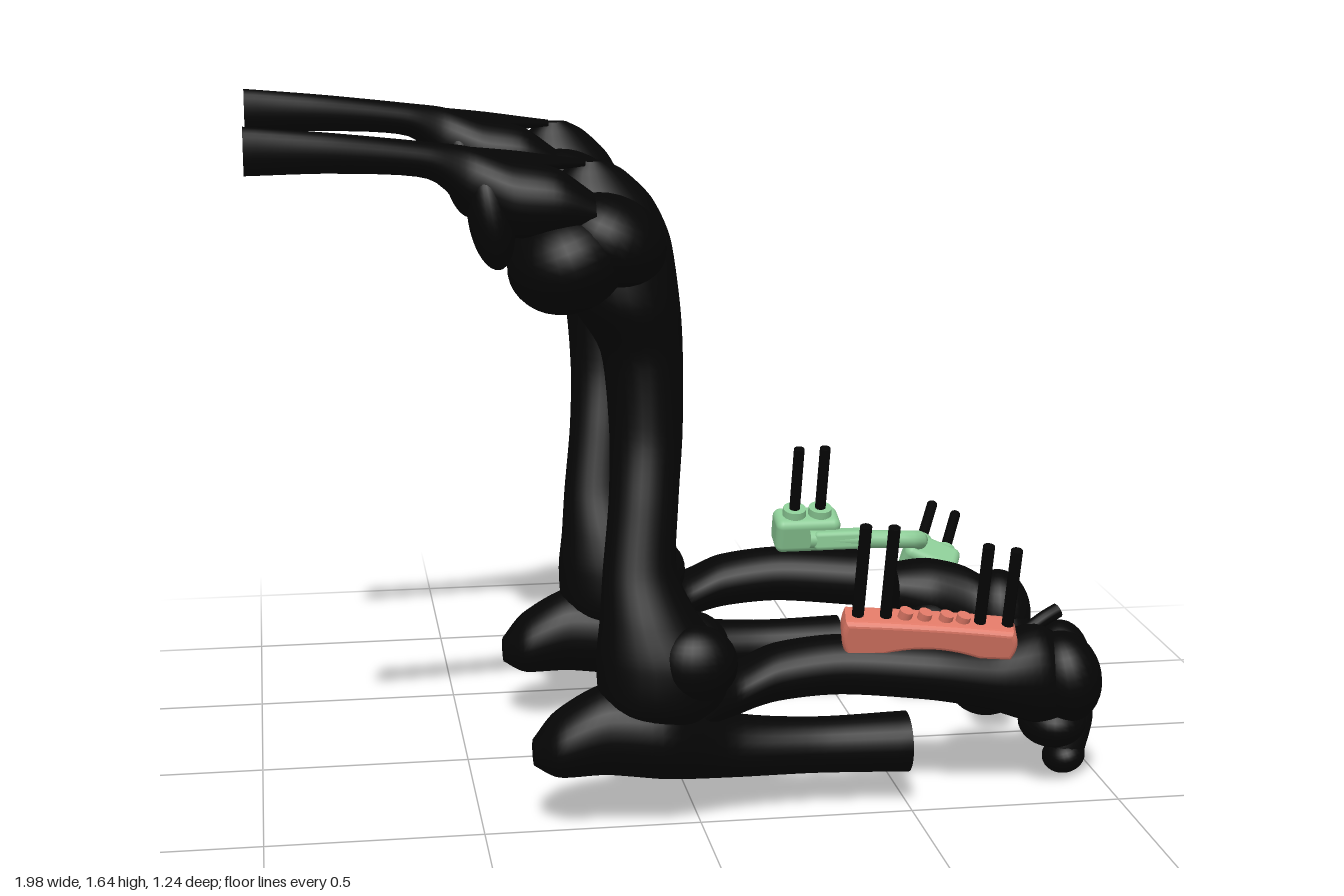
import * as THREE from 'three';
import { RoundedBoxGeometry } from 'three/addons/geometries/RoundedBoxGeometry.js';

const mat = (name, color) => {
  const m = new THREE.MeshStandardMaterial({ color });
  m.name = name;
  return m;
};

export function createModel() {
  const black = mat('bone black', 0x050505);
  const red = mat('plate red', 0xde7866);
  const green = mat('clamp green', 0x8ccb96);
  const model = new THREE.Group();

  const add = (parent, name, geo, material, x = 0, y = 0, z = 0) => {
    const m = new THREE.Mesh(geo, material);
    m.name = name;
    m.position.set(x, y, z);
    parent.add(m);
    return m;
  };

  // Smooth loft of ellipses along x or y; section = [x, y, z, ra, rb]
  // x axis: ra in y, rb in z. y axis: ra in z, rb in x.
  const loft = (parent, name, axis, sections) => {
    const mid = new THREE.CatmullRomCurve3(sections.map(s => new THREE.Vector3(s[0], s[1], s[2])), false, 'catmullrom', 0.4);
    const rad = new THREE.CatmullRomCurve3(sections.map(s => new THREE.Vector3(s[3], s[4], 0)), false, 'catmullrom', 0.4);
    const rows = (sections.length - 1) * 6, n = 28, pos = [], idx = [];
    const ring = t => {
      const c = mid.getPoint(t), r = rad.getPoint(t);
      for (let j = 0; j < n; j++) {
        const a = (j / n) * Math.PI * 2, u = Math.cos(a) * r.x, v = Math.sin(a) * r.y;
        if (axis === 'x') pos.push(c.x, c.y + u, c.z + v);
        else pos.push(c.x + v, c.y, c.z + u);
      }
      return c;
    };
    for (let i = 0; i <= rows; i++) ring(i / rows);
    for (let i = 0; i < rows; i++) for (let j = 0; j < n; j++) {
      const a = i * n + j, b = i * n + (j + 1) % n;
      idx.push(a, b, a + n, b, b + n, a + n);
    }
    // End caps with their own rings so the cut stays sharp
    for (const t of [0, 1]) {
      const s = pos.length / 3, c = ring(t);
      pos.push(c.x, c.y, c.z);
      for (let j = 0; j < n; j++) {
        const k = (j + 1) % n;
        idx.push(s + n, s + (t ? j : k), s + (t ? k : j));
      }
    }
    const g = new THREE.BufferGeometry();
    g.setAttribute('position', new THREE.Float32BufferAttribute(pos, 3));
    g.setIndex(idx);
    g.computeVertexNormals();
    return add(parent, name, g, black);
  };

  const knob = (parent, name, [x, y, z], [a, b, c], rz = 0) => {
    const m = add(parent, name, new THREE.SphereGeometry(1, 28, 18), black, x, y, z);
    m.scale.set(a, b, c);
    m.rotation.z = rz;
  };

  const tube = (parent, name, pts, r, material = black) =>
    add(parent, name, new THREE.TubeGeometry(
      new THREE.CatmullRomCurve3(pts.map(p => new THREE.Vector3(...p))), 16, r, 14), material);

  const pin = (parent, x, y0, y1) =>
    add(parent, 'pin', new THREE.CylinderGeometry(0.014, 0.014, y1 - y0, 16), black, x, (y0 + y1) / 2, 0);

  // Bones shared by both limbs, down to the forearm
  const makeLimb = name => {
    const g = new THREE.Group();
    g.name = name;
    loft(g, 'shoulderBlade', 'x', [
      [-0.99, 1.587, 0.598, 0.052, 0.025], [-0.8, 1.575, 0.563, 0.043, 0.032], [-0.6, 1.55, 0.512, 0.04, 0.042],
      [-0.51, 1.5, 0.485, 0.075, 0.055], [-0.42, 1.46, 0.48, 0.085, 0.085], [-0.32, 1.45, 0.485, 0.075, 0.085],
      [-0.24, 1.43, 0.49, 0.04, 0.06]]);
    loft(g, 'shoulderSpine', 'x', [
      [-0.75, 1.585, 0.55, 0.02, 0.02], [-0.5, 1.545, 0.46, 0.025, 0.05], [-0.4, 1.53, 0.4, 0.022, 0.07],
      [-0.3, 1.52, 0.36, 0.014, 0.04], [-0.24, 1.515, 0.33, 0.008, 0.02]]);
    knob(g, 'shoulderProcess', [-0.465, 1.42, 0.5], [0.05, 0.115, 0.065], 0.15);
    loft(g, 'humerus', 'y', [
      [-0.1, 0.23, 0.47, 0.07, 0.07], [-0.09, 0.3, 0.49, 0.11, 0.14], [-0.085, 0.4, 0.485, 0.115, 0.155],
      [-0.115, 0.49, 0.475, 0.095, 0.115], [-0.135, 0.6, 0.455, 0.07, 0.085], [-0.12, 0.75, 0.41, 0.07, 0.08],
      [-0.106, 0.9, 0.352, 0.087, 0.084], [-0.11, 1.08, 0.31, 0.115, 0.094], [-0.15, 1.2, 0.325, 0.125, 0.125],
      [-0.18, 1.34, 0.32, 0.11, 0.135], [-0.2, 1.43, 0.3, 0.085, 0.115], [-0.215, 1.49, 0.288, 0.052, 0.07],
      [-0.22, 1.515, 0.3, 0.02, 0.03]]);
    knob(g, 'humerusHead', [-0.295, 1.315, 0.46], [0.135, 0.115, 0.145], 0.35);
    knob(g, 'innerTubercle', [-0.2, 1.36, 0.46], [0.13, 0.1, 0.12], -0.4);
    for (const z of [0.43, 0.545]) knob(g, 'elbowCondyle', [-0.02, 0.4, z], [0.096, 0.09, 0.075]);
    loft(g, 'ulna', 'x', [
      [-0.385, 0.19, 0.49, 0.03, 0.035], [-0.33, 0.207, 0.49, 0.075, 0.085], [-0.22, 0.235, 0.485, 0.105, 0.1],
      [-0.08, 0.22, 0.47, 0.11, 0.125], [0.08, 0.165, 0.435, 0.075, 0.085], [0.28, 0.15, 0.425, 0.066, 0.066],
      [0.5, 0.15, 0.432, 0.071, 0.074]]);
    knob(g, 'elbowNotch', [-0.03, 0.27, 0.37], [0.11, 0.11, 0.155]);
    model.add(g);
    return g;
  };
  const radius = [
    [-0.05, 0.27, 0.37, 0.07, 0.12], [0.02, 0.275, 0.365, 0.08, 0.155], [0.1, 0.28, 0.365, 0.058, 0.1],
    [0.2, 0.31, 0.355, 0.066, 0.085], [0.35, 0.325, 0.365, 0.07, 0.08], [0.56, 0.315, 0.4, 0.073, 0.085]];

  // Near limb: whole forearm and wrist
  const near = makeLimb('nearLimb');
  loft(near, 'radius', 'x', [...radius,
    [0.7, 0.295, 0.395, 0.085, 0.1], [0.82, 0.285, 0.38, 0.12, 0.11], [0.9, 0.26, 0.36, 0.1, 0.1]]);
  knob(near, 'wristKnob', [0.73, 0.24, 0.28], [0.095, 0.085, 0.09]);
  knob(near, 'wristBone', [0.89, 0.28, 0.4], [0.085, 0.11, 0.1], 0.2);
  knob(near, 'wristBone', [0.91, 0.28, 0.28], [0.075, 0.1, 0.08]);
  knob(near, 'wristBone', [0.87, 0.16, 0.37], [0.08, 0.06, 0.09]);
  tube(near, 'wristSpur', [[0.8, 0.38, 0.36], [0.85, 0.41, 0.35], [0.885, 0.425, 0.34]], 0.018);
  tube(near, 'wristHook', [[0.93, 0.24, 0.29], [0.95, 0.15, 0.29], [0.93, 0.06, 0.295]], 0.045);
  knob(near, 'hookTip', [0.925, 0.045, 0.295], [0.052, 0.042, 0.058], 0.3);

  // Far limb: cut forearm with a turned wrist fragment
  const far = makeLimb('farLimb');
  far.position.z = -0.775;
  loft(far, 'radius', 'x', radius);
  const frag = new THREE.Group();
  frag.name = 'turnedWrist';
  model.add(frag);
  loft(frag, 'radiusEnd', 'x', [
    [0.64, 0.3, -0.32, 0.065, 0.08], [0.73, 0.28, -0.31, 0.095, 0.105], [0.82, 0.25, -0.25, 0.115, 0.12],
    [0.9, 0.22, -0.19, 0.1, 0.1], [0.95, 0.21, -0.17, 0.06, 0.07]]);
  knob(frag, 'wristBone', [0.89, 0.25, -0.2], [0.085, 0.12, 0.1]);
  knob(frag, 'wristBone', [0.9, 0.15, -0.15], [0.075, 0.085, 0.08]);
  knob(frag, 'wristKnob', [0.73, 0.2, -0.25], [0.09, 0.09, 0.09]);
  loft(frag, 'ulnaEnd', 'x', [[0.63, 0.16, -0.27, 0.06, 0.055], [0.69, 0.16, -0.26, 0.06, 0.06], [0.76, 0.17, -0.24, 0.06, 0.06]]);
  tube(frag, 'wristHook', [[0.88, 0.16, -0.16], [0.835, 0.125, -0.07], [0.83, 0.135, 0.01]], 0.045);
  knob(frag, 'hookTip', [0.83, 0.145, 0.015], [0.052, 0.06, 0.035]);

  // Arched bone plate with four pins and small screw heads
  const plate = new THREE.Group();
  plate.name = 'bonePlate';
  plate.position.set(0.55, 0.408, 0.425);
  plate.rotation.set(0.3, -0.15, 0);
  model.add(plate);
  const s = new THREE.Shape();
  s.moveTo(-0.185, -0.035);
  s.quadraticCurveTo(-0.2, 0, -0.19, 0.034);
  s.quadraticCurveTo(0, 0.036, 0.185, 0.024);
  s.quadraticCurveTo(0.2, 0, 0.185, -0.03);
  s.lineTo(0.12, -0.03);
  s.quadraticCurveTo(0, 0.01, -0.11, -0.03);
  s.closePath();
  add(plate, 'plateBody', new THREE.ExtrudeGeometry(s, {
    depth: 0.05, bevelSize: 0.012, bevelThickness: 0.016, bevelSegments: 4, curveSegments: 10 }), red, 0, 0, -0.025);
  for (const [x, top] of [[-0.17, 0.288], [-0.105, 0.288], [0.115, 0.248], [0.18, 0.24]]) pin(plate, x, -0.03, top);
  for (const x of [-0.06, -0.015, 0.035, 0.075])
    add(plate, 'screwHead', new THREE.CylinderGeometry(0.017, 0.017, 0.03, 12), red, x, 0.046 - x * 0.05, 0).rotation.z = -0.2;

  // Pin clamps, joined by a bent rod
  const clamp = (name, w, h, d, top) => {
    const g = new THREE.Group();
    g.name = name;
    add(g, 'clampBody', new RoundedBoxGeometry(w, h, d, 4, 0.02), green);
    for (const x of [-0.034, 0.034]) {
      add(g, 'clampCollar', new THREE.CylinderGeometry(0.03, 0.032, 0.03, 20), green, x, h / 2 + 0.004, 0);
      pin(g, x, -h / 2 - 0.02, top);
    }
    model.add(g);
    return g;
  };
  const c1 = clamp('upperClamp', 0.17, 0.095, 0.09, 0.245);
  c1.position.set(0.42, 0.448, -0.387);
  c1.rotation.x = 0.3;
  const c2 = clamp('wristClamp', 0.145, 0.095, 0.09, 0.235);
  c2.position.set(0.755, 0.345, -0.4);
  c2.quaternion.setFromUnitVectors(new THREE.Vector3(0, 1, 0), new THREE.Vector3(0.085, 0.08, -0.19).normalize());
  tube(model, 'clampRod', [[0.42, 0.435, -0.338], [0.56, 0.43, -0.335], [0.69, 0.425, -0.332],
    [0.715, 0.42, -0.345], [0.72, 0.405, -0.38], [0.725, 0.37, -0.42]], 0.023, green);
  add(model, 'rodSleeve', new RoundedBoxGeometry(0.14, 0.05, 0.048, 2, 0.012), green, 0.5, 0.432, -0.338);

  return model;
}
